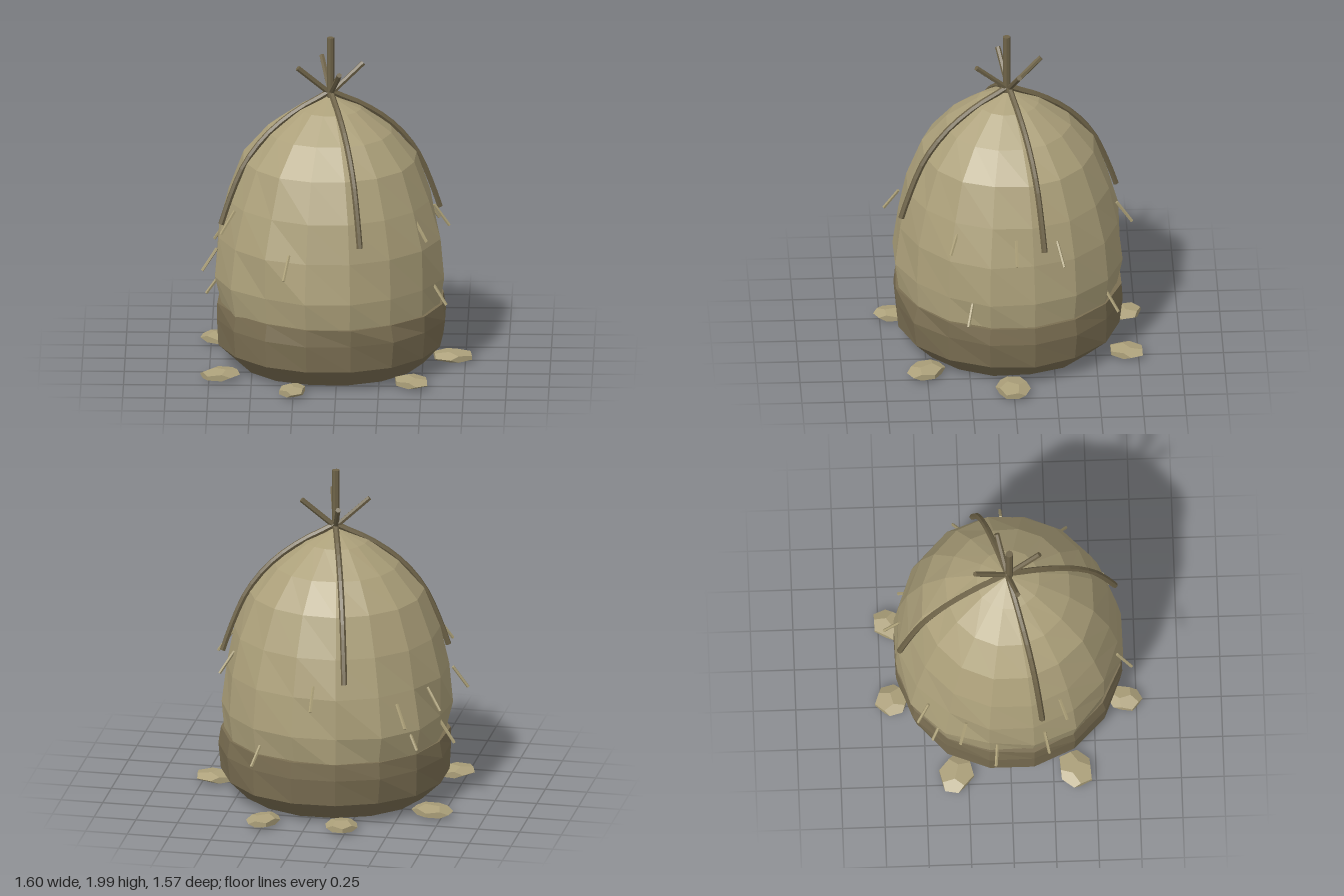
import * as THREE from 'three';

const mat = (name, color) => {
  const m = new THREE.MeshStandardMaterial({ color, flatShading: true });
  m.name = name;
  return m;
};

// repeatable value from -1 to 1 for a pair of indices
const noise = (a, b) => {
  const s = Math.sin(a * 127.1 + b * 311.7) * 43758.5453;
  return (s - Math.floor(s)) * 2 - 1;
};

const SIDES = 16;
const CX = -0.043; // the stack sits slightly off centre

export function createModel() {
  const group = new THREE.Group();
  const hay = mat('hay', 0xaca07a);
  const dampHay = mat('damp hay', 0x7a6e52);
  const rope = mat('rope', 0x6e6348);
  const straw = mat('straw', 0xaca078);

  const add = (name, geometry, material, parent = group) => {
    const mesh = new THREE.Mesh(geometry, material);
    mesh.name = name;
    parent.add(mesh);
    return mesh;
  };

  // turned solid; each ring is [radius, height, roughness]
  const roughLathe = (rings, seed) => {
    const pts = rings.map(([r, y]) => new THREE.Vector2(r, y));
    const geo = new THREE.LatheGeometry(pts, SIDES, Math.PI / SIDES);
    const p = geo.attributes.position;
    for (let i = 0; i < p.count; i++) {
      const ring = i % pts.length;
      const col = Math.floor(i / pts.length) % SIDES;
      const k = 1 + rings[ring][2] * noise(col + seed, ring + 1);
      p.setXYZ(i, p.getX(i) * k, p.getY(i), p.getZ(i) * k);
    }
    geo.computeVertexNormals();
    return geo;
  };

  // straight stick between two points
  const stick = (name, a, b, radius, sides, material, parent) => {
    const d = b.clone().sub(a);
    const mesh = add(name, new THREE.CylinderGeometry(radius, radius, d.length(), sides), material, parent);
    mesh.position.copy(a).add(b).multiplyScalar(0.5);
    mesh.quaternion.setFromUnitVectors(new THREE.Vector3(0, 1, 0), d.normalize());
  };

  // main dome, leaning a touch, and the damp skirt under it
  add('hayDome', roughLathe([
    [0.62, 0.28, 0], [0.65, 0.36, 0.022], [0.682, 0.56, 0.03], [0.655, 0.80, 0.02],
    [0.605, 1.03, 0.014], [0.512, 1.265, 0.012], [0.37, 1.435, 0.015], [0.185, 1.57, 0.03], [0, 1.645, 0],
  ], 3), hay).position.set(-0.048, 0, 0.003);
  add('dampBase', roughLathe([
    [0, 0.025, 0], [0.55, 0.025, 0.01], [0.665, 0.14, 0.015], [0.68, 0.30, 0.015],
    [0.665, 0.40, 0.02], [0, 0.40, 0],
  ], 40), dampHay).position.set(CX, 0, 0.005);

  // ropes hanging over the dome, each with a loose end at the knot
  const ropes = new THREE.Group();
  ropes.name = 'ropes';
  ropes.position.x = CX;
  group.add(ropes);
  for (let i = 0; i < 4; i++) {
    const a = 0.28 + (i * Math.PI) / 2;
    const at = (r, y) => new THREE.Vector3(Math.sin(a) * r, y, Math.cos(a) * r);
    const path = new THREE.CatmullRomCurve3([
      at(0, 1.668), at(0.09, 1.622), at(0.2, 1.568), at(0.377, 1.438), at(0.518, 1.265),
      at(0.61, 1.06), at(0.665, 0.9),
    ]);
    add('hangingRope', new THREE.TubeGeometry(path, 12, 0.018, 6), rope, ropes);
    const end = add('ropeEnd', new THREE.CircleGeometry(0.018, 6), rope, ropes);
    end.position.copy(at(0.665, 0.9));
    end.rotation.x = Math.PI / 2;
    stick('looseEnd', at(0, 1.65), at(0.2, 1.825), 0.016, 6, rope, ropes);
  }
  stick('centrePole', new THREE.Vector3(0, 1.62, 0.012), new THREE.Vector3(0, 2, 0.012), 0.022, 8, rope, ropes);

  // stray straws: x, z and height of each middle
  const straws = new THREE.Group();
  straws.name = 'strayStraws';
  group.add(straws);
  [
    [-0.29, 0.68, 0.79], [-0.64, 0.31, 0.95], [-0.75, 0.21, 0.69], [-0.73, -0.085, 0.45],
    [-0.69, -0.28, 0.72], [-0.59, -0.43, 0.52], [-0.54, -0.51, 0.68], [-0.04, -0.68, 0.81],
    [0.31, -0.59, 0.41], [0.55, -0.28, 0.86], [0.61, -0.02, 0.9], [0.6, 0.25, 0.5],
    [0.49, 0.34, 0.92],
  ].forEach(([x, z, y]) => {
    const mid = new THREE.Vector3(x, y, z);
    const out = new THREE.Vector3(x - CX, 0, z).normalize().multiplyScalar(0.045);
    out.y = -0.065;
    stick('straw', mid.clone().sub(out), mid.clone().add(out), 0.0095, 5, straw, straws);
  });

  // flat tufts on the ground: x, z, half length, half width
  const tufts = new THREE.Group();
  tufts.name = 'groundTufts';
  group.add(tufts);
  [
    [-0.22, -0.685, 0.105, 0.095], [0.25, -0.68, 0.115, 0.09], [-0.69, -0.32, 0.125, 0.105],
    [0.675, 0.005, 0.13, 0.1], [-0.685, 0.38, 0.125, 0.1], [0.44, 0.505, 0.12, 0.1],
    [-0.255, 0.685, 0.1, 0.08],
  ].forEach(([x, z, long, wide], i) => {
    const geo = new THREE.DodecahedronGeometry(1, 0);
    geo.rotateY(i * 0.9);
    geo.scale(wide * 1.04, 0.034, long * 1.04);
    const tuft = add('groundTuft', geo, hay, tufts);
    tuft.position.set(x, 0.04, z);
    tuft.rotation.y = Math.atan2(x - CX, z);
  });

  return group;
}
